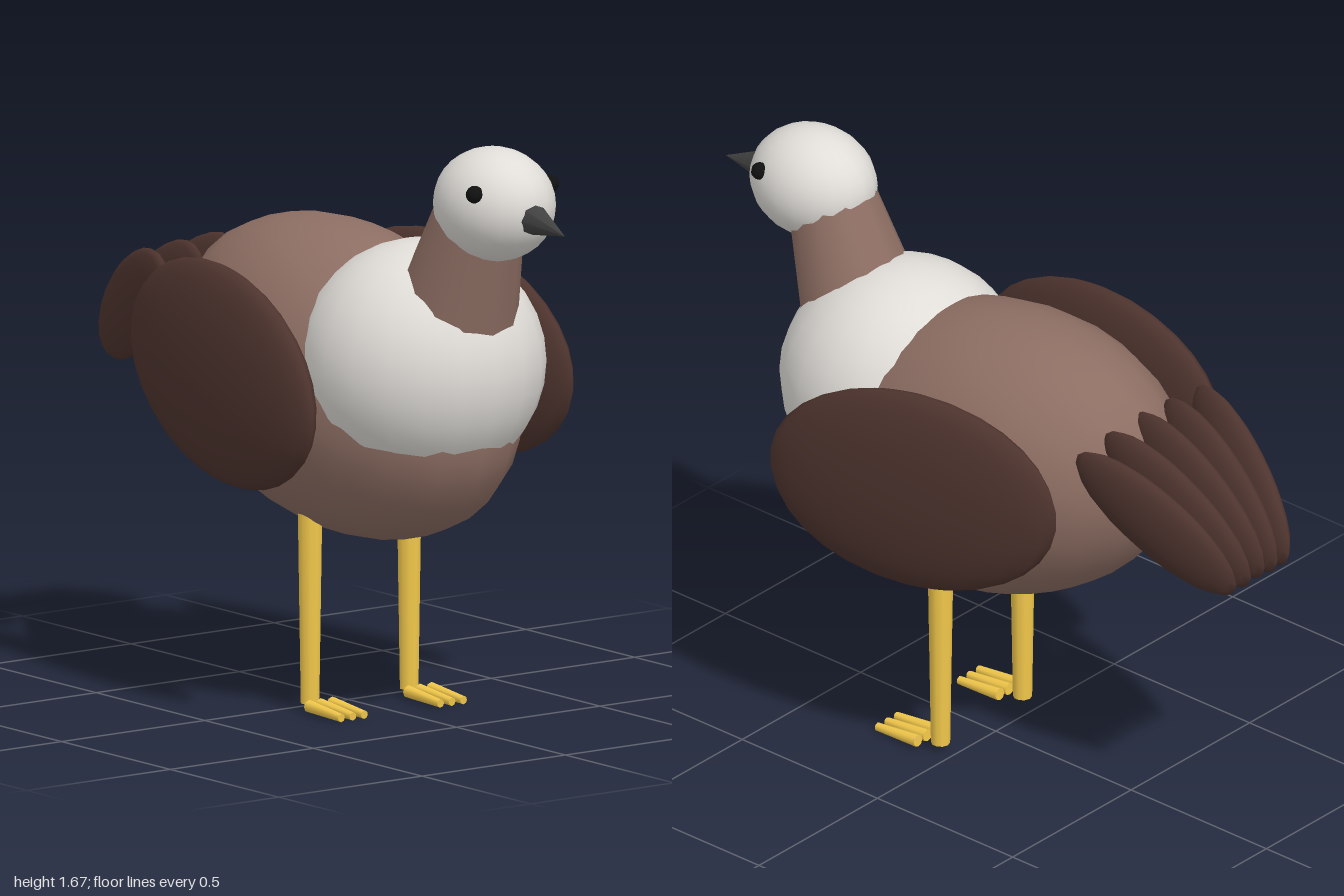
import * as THREE from 'three';

const mat = (color) => new THREE.MeshStandardMaterial({ color });

export function createModel() {
  const model = new THREE.Group();
  const brown = mat(0x8d6e63), dark = mat(0x4e342e), white = mat(0xe0ddd8);
  const yellow = mat(0xf2c84b), grey = mat(0x424242), black = mat(0x111111);

  const add = (name, geometry, material, position, rotation = [0, 0, 0]) => {
    const mesh = new THREE.Mesh(geometry, material);
    mesh.name = name;
    mesh.position.set(...position);
    mesh.rotation.set(...rotation);
    model.add(mesh);
    return mesh;
  };
  const ellipsoid = (rx, ry, rz, w = 20, h = 16) =>
    new THREE.SphereGeometry(1, w, h).scale(rx, ry, rz);

  // Body, breast, neck and head
  add('body', ellipsoid(0.38, 0.42, 0.635), brown, [0, 0.925, 0], [0.25, 0, 0]);
  add('breast', ellipsoid(0.345, 0.345, 0.35), white, [0, 1.02, 0.34]);
  add('neck', new THREE.CylinderGeometry(0.12, 0.18, 0.4, 12), brown, [0, 1.352, 0.558], [0.35, 0, 0]);
  add('head', ellipsoid(0.16, 0.16, 0.192), white, [0, 1.518, 0.674]);

  // Beak, pointing forward and slightly down
  add('beak', new THREE.ConeGeometry(0.06, 0.2, 8), grey, [0, 1.492, 0.9], [Math.PI / 2 + 0.17, 0, 0]);

  // Tail feathers, fanned at the rump and closing towards the tips
  for (let i = -2; i <= 2; i++) {
    add('tailFeather', ellipsoid(0.043, 0.115, 0.29, 16, 12), dark,
      [i * 0.09, 1.045 - Math.abs(i) * 0.007, -0.75], [-0.63, i * 0.125, 0]);
  }

  // Mirrored parts
  for (const [side, s] of [['left', 1], ['right', -1]]) {
    add(side + 'Eye', ellipsoid(0.025, 0.025, 0.025, 10, 8), black, [s * 0.132, 1.572, 0.757]);
    add(side + 'Wing', ellipsoid(0.082, 0.3, 0.49), dark, [s * 0.4, 0.97, -0.045], [0.17, s * 0.11, 0]);
    add(side + 'Leg', new THREE.CylinderGeometry(0.036, 0.027, 0.575, 10), yellow, [s * 0.173, 0.3125, 0.053]);
    // Three forward toes
    for (let t = -1; t <= 1; t++) {
      add(side + 'Toe', new THREE.CylinderGeometry(0.012, 0.018, 0.15, 8), yellow,
        [s * 0.173 + t * 0.04, 0.023, 0.176], [Math.PI / 2 + 0.07, 0, 0]);
    }
  }
  return model;
}
